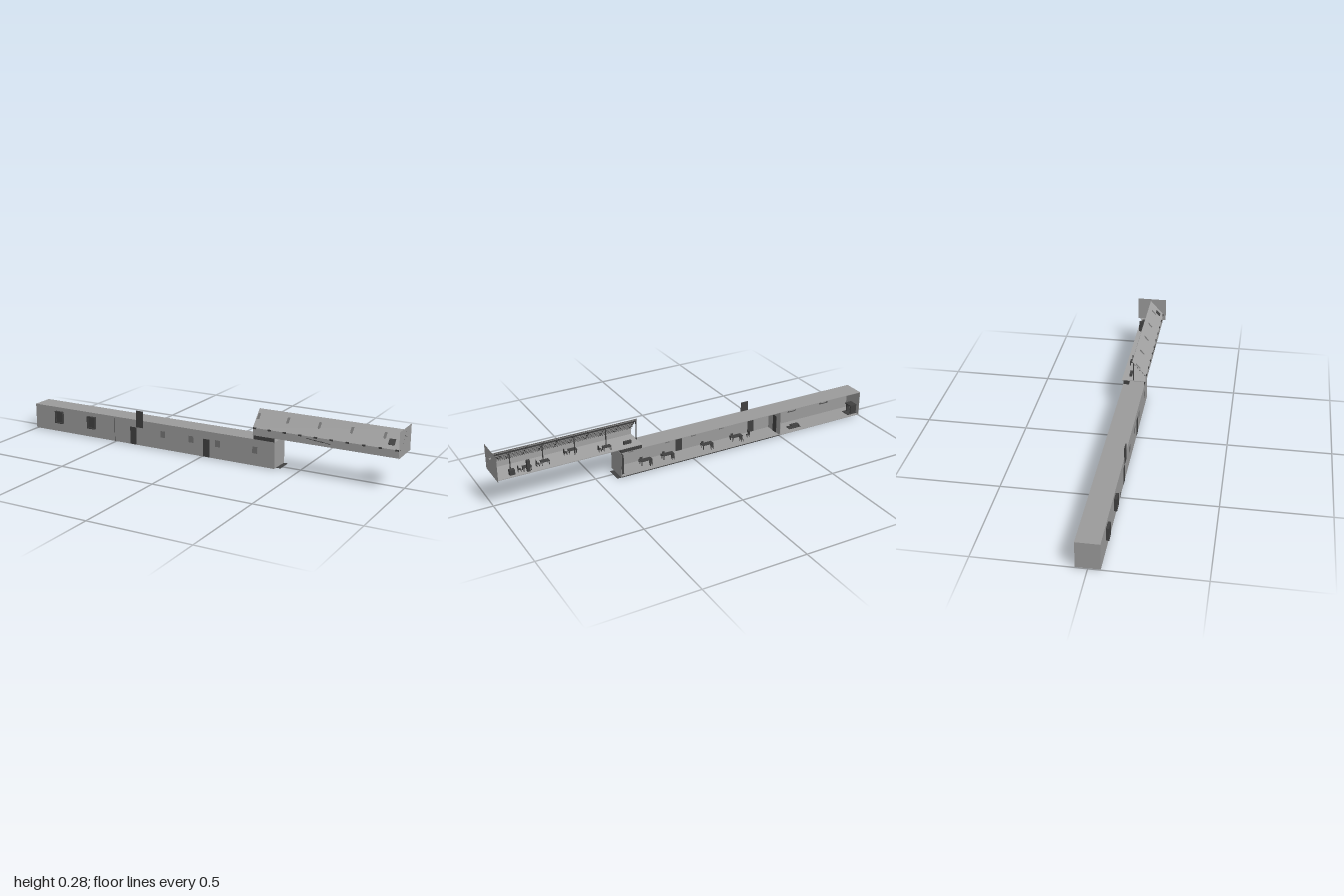
import * as THREE from 'three';

const paint = (color) => new THREE.MeshStandardMaterial({ color, side: THREE.DoubleSide, flatShading: true });
const stone = paint(0x9b9b9b), plaster = paint(0xa2a2a2), glass = paint(0x757575), dark = paint(0x404040);

// Box given by its extents on each axis
function box(parent, name, [x0, x1], [y0, y1], [z0, z1], mat = stone) {
  const mesh = new THREE.Mesh(new THREE.BoxGeometry(x1 - x0, y1 - y0, z1 - z0), mat);
  mesh.position.set((x0 + x1) / 2, (y0 + y1) / 2, (z0 + z1) / 2);
  mesh.name = name;
  parent.add(mesh);
  return mesh;
}

function group(parent, name, x = 0, y = 0, z = 0) {
  const g = new THREE.Group();
  g.name = name;
  g.position.set(x, y, z);
  parent.add(g);
  return g;
}

// Rectangular frame with an open middle, facing +z
function frame(parent, name, w, h, rim, depth) {
  const s = new THREE.Shape();
  s.moveTo(-w / 2, -h / 2).lineTo(w / 2, -h / 2).lineTo(w / 2, h / 2).lineTo(-w / 2, h / 2).closePath();
  const a = w / 2 - rim, b = h / 2 - rim, hole = new THREE.Path();
  hole.moveTo(-a, -b).lineTo(-a, b).lineTo(a, b).lineTo(a, -b).closePath();
  s.holes.push(hole);
  const mesh = new THREE.Mesh(new THREE.ExtrudeGeometry(s, { depth, bevelEnabled: false }), dark);
  mesh.name = name;
  parent.add(mesh);
  return mesh;
}

function table(parent, x, y, z, w, d, h) {
  const g = group(parent, 'table', x, y, z);
  box(g, 'tableTop', [-w / 2, w / 2], [h - 0.003, h], [-d / 2, d / 2], dark);
  for (const sx of [-1, 1]) for (const sz of [-1, 1]) {
    const lx = sx * (w / 2 - 0.003), lz = sz * (d / 2 - 0.003);
    box(g, 'tableLeg', [lx - 0.0015, lx + 0.0015], [0, h], [lz - 0.0015, lz + 0.0015], dark);
  }
}

function chair(parent, x, y, z, turn) {
  const g = group(parent, 'chair', x, y, z);
  g.rotation.y = turn;
  box(g, 'chairSeat', [-0.007, 0.007], [0.012, 0.014], [-0.007, 0.007], dark);
  box(g, 'chairBack', [-0.007, 0.007], [0.014, 0.03], [-0.007, -0.005], dark);
  for (const sx of [-1, 1]) for (const sz of [-1, 1])
    box(g, 'chairLeg', [sx * 0.006 - 0.001, sx * 0.006 + 0.001], [0, 0.012], [sz * 0.006 - 0.001, sz * 0.006 + 0.001], dark);
}

function lowerHall(root) {
  const g = group(root, 'lowerHall');
  const X = [-1, 0.39], Y = [0.003, 0.132], Z = [-0.053, 0.055], t = 0.002;
  // Shell, open at the back
  box(g, 'floor', X, [0.003, 0.005], Z);
  box(g, 'roof', X, [0.13, 0.132], Z);
  box(g, 'frontWall', X, Y, [0.055 - t, 0.055]);
  box(g, 'rightEndWall', [-1, -1 + t], Y, Z);
  box(g, 'leftEndWall', [0.39 - t, 0.39], Y, Z);
  box(g, 'basePlate', [-0.5, 0.41], [0.0015, 0.003], [-0.05, 0.03], dark);
  box(g, 'floorEdge', [-0.5, 0.39], [0.003, 0.006], [-0.0535, -0.051], dark);
  box(g, 'wallJoint', [-0.503, -0.501], Y, [0.055, 0.0556], dark);

  // Partition with a doorway
  box(g, 'partition', [-0.505, -0.5], [0.005, 0.13], [-0.053, -0.02]);
  box(g, 'partition', [-0.505, -0.5], [0.005, 0.13], [0.01, 0.053]);
  box(g, 'partitionLintel', [-0.505, -0.5], [0.095, 0.13], [-0.02, 0.01]);
  box(g, 'partitionDoor', [-0.507, -0.498], [0.005, 0.095], [-0.02, 0.01], dark);

  // Projecting framed windows
  for (const x of [-0.845, -0.642]) {
    const w = group(g, 'bigWindow', x, 0.08, 0.055);
    frame(w, 'windowFrame', 0.048, 0.063, 0.005, 0.013);
    box(w, 'windowPane', [-0.02, 0.02], [-0.028, 0.028], [0, 0.005], dark);
    frame(w, 'innerFrame', 0.048, 0.04, 0.003, 0.002).position.z = -0.005;
  }
  // Small windows and doors, seen on both faces of the wall
  for (const x of [-0.218, -0.057, 0.09, 0.288])
    box(g, 'smallWindow', [x - 0.013, x + 0.013], [0.063, 0.096], [0.0522, 0.0562], glass);
  for (const x of [-0.39, 0.027])
    box(g, 'door', [x - 0.018, x + 0.018], [0.004, 0.093], [0.0515, 0.0565], dark);
  // Upright sign panel above the roof line
  box(g, 'signPanel', [-0.372, -0.332], [0.095, 0.18], [0.053, 0.057], dark);

  // Hall furniture
  for (const x of [0.23, 0.11, -0.11, -0.28]) {
    table(g, x, 0.005, 0.01, 0.06, 0.028, 0.024);
    chair(g, x - 0.015, 0.005, -0.015, Math.PI);
    chair(g, x + 0.015, 0.005, 0.036, 0);
  }
  chair(g, -0.35, 0.005, 0.01, Math.PI / 2);
  box(g, 'cupboard', [0.365, 0.388], [0.005, 0.105], [-0.03, 0.04], dark);
  box(g, 'mat', [-0.65, -0.58], [0, 0.006], [-0.025, 0.01], dark);
  table(g, -0.62, 0.005, -0.01, 0.045, 0.024, 0.014);
  // Hearth on the end wall
  const h = group(g, 'hearth', -0.998, 0.005, -0.012);
  for (const z of [-0.02, 0.014]) box(h, 'hearthSide', [0, 0.035], [0, 0.045], [z, z + 0.006], dark);
  box(h, 'hearthShelf', [0, 0.04], [0.045, 0.05], [-0.024, 0.024], dark);
  box(h, 'hearthBase', [0, 0.055], [0, 0.003], [-0.024, 0.024], dark);
  const arch = new THREE.Mesh(new THREE.TorusGeometry(0.014, 0.002, 6, 12, Math.PI), dark);
  arch.name = 'hearthArch';
  arch.rotation.y = Math.PI / 2;
  arch.position.set(0.035, 0.026, 0);
  h.add(arch);
}

function attic(root) {
  const g = group(root, 'attic');
  const X = [0.28, 0.99];
  box(g, 'atticFloor', X, [0.153, 0.156], [-0.06, 0.063], plaster);
  box(g, 'kneeWall', X, [0.153, 0.19], [0.061, 0.063], plaster);
  // Block and strip carrying the attic on the hall roof
  box(g, 'supportBlock', [0.28, 0.388], [0.132, 0.153], [-0.053, -0.024], dark);
  box(g, 'supportStrip', [0.28, 0.388], [0.132, 0.153], [0.053, 0.055], dark);

  // Sloping roof: local y runs up the slope, local z points outward
  const dy = 0.077, dz = 0.07, len = Math.hypot(dy, dz);
  const s = group(g, 'slopingRoof', 0, 0.19, 0.063);
  s.rotation.x = -Math.atan2(dz, dy);
  box(s, 'roofSheet', X, [0, len], [-0.002, 0], plaster);
  for (let i = 0; i < 6; i++) {
    const y = 0.004 + i * (len - 0.012) / 5;
    box(s, 'purlin', [0.28, 0.992], [y - 0.001, y + 0.001], [-0.007, -0.004], dark);
  }
  for (let i = 0; i < 10; i++) {
    const x = 0.289 + i * 0.0765;
    box(s, 'rafter', [x - 0.002, x + 0.002], [0, len - 0.004], [-0.005, -0.002], dark);
    box(g, 'rafterFoot', [x - 0.008, x + 0.008], [0.185, 0.192], [0.06, 0.0655], dark);
  }
  for (const x of [0.29, 0.44, 0.597, 0.752, 0.907])
    box(s, 'skylight', [x - 0.006, x + 0.006], [0.047, 0.078], [-0.003, 0.001], glass);
  box(s, 'roofHatch', [0.93, 0.96], [0.02, 0.05], [-0.003, 0.002], dark);

  // Ridge beam and posts, tucked beneath the sheet
  box(g, 'ridgeBeam', X, [0.248, 0.254], [-0.004, 0.001], dark);
  for (const x of [0.284, 0.44, 0.597, 0.752, 0.907])
    box(g, 'ridgePost', [x - 0.002, x + 0.002], [0.156, 0.25], [-0.004, 0], dark);

  // Tall end panel with a small lamp
  const panel = new THREE.Mesh(new THREE.PlaneGeometry(0.156, 0.123), stone);
  panel.name = 'endPanel';
  panel.rotation.y = Math.PI / 2;
  panel.position.set(0.991, 0.2155, 0);
  g.add(panel);
  box(g, 'endLamp', [0.991, 1], [0.237, 0.243], [-0.006, 0.002], stone);

  // Attic furniture
  for (const [x, z] of [[0.45, -0.03], [0.6, 0.02], [0.75, -0.02], [0.84, -0.03]]) {
    table(g, x, 0.156, z, 0.04, 0.024, 0.02);
    chair(g, x + 0.035, 0.156, z, -Math.PI / 2);
  }
  box(g, 'bench', [0.32, 0.36], [0.156, 0.17], [-0.027, -0.015], dark);
  box(g, 'chest', [0.9, 0.925], [0.156, 0.18], [-0.045, -0.025], dark);
  box(g, 'tallCupboard', [0.83, 0.845], [0.156, 0.21], [-0.05, -0.035], dark);
  // Leaning poles outside the knee wall
  for (let i = 0; i < 3; i++) {
    const x = 0.55 + i * 0.035, y = 0.176 - i * 0.003;
    box(g, 'wallPole', [x, x + 0.05], [y, y + 0.002], [0.063, 0.0645], dark).rotation.z = -0.15;
  }
}

export function createModel() {
  const root = new THREE.Group();
  root.name = 'cutawayHouse';
  lowerHall(root);
  attic(root);
  return root;
}
